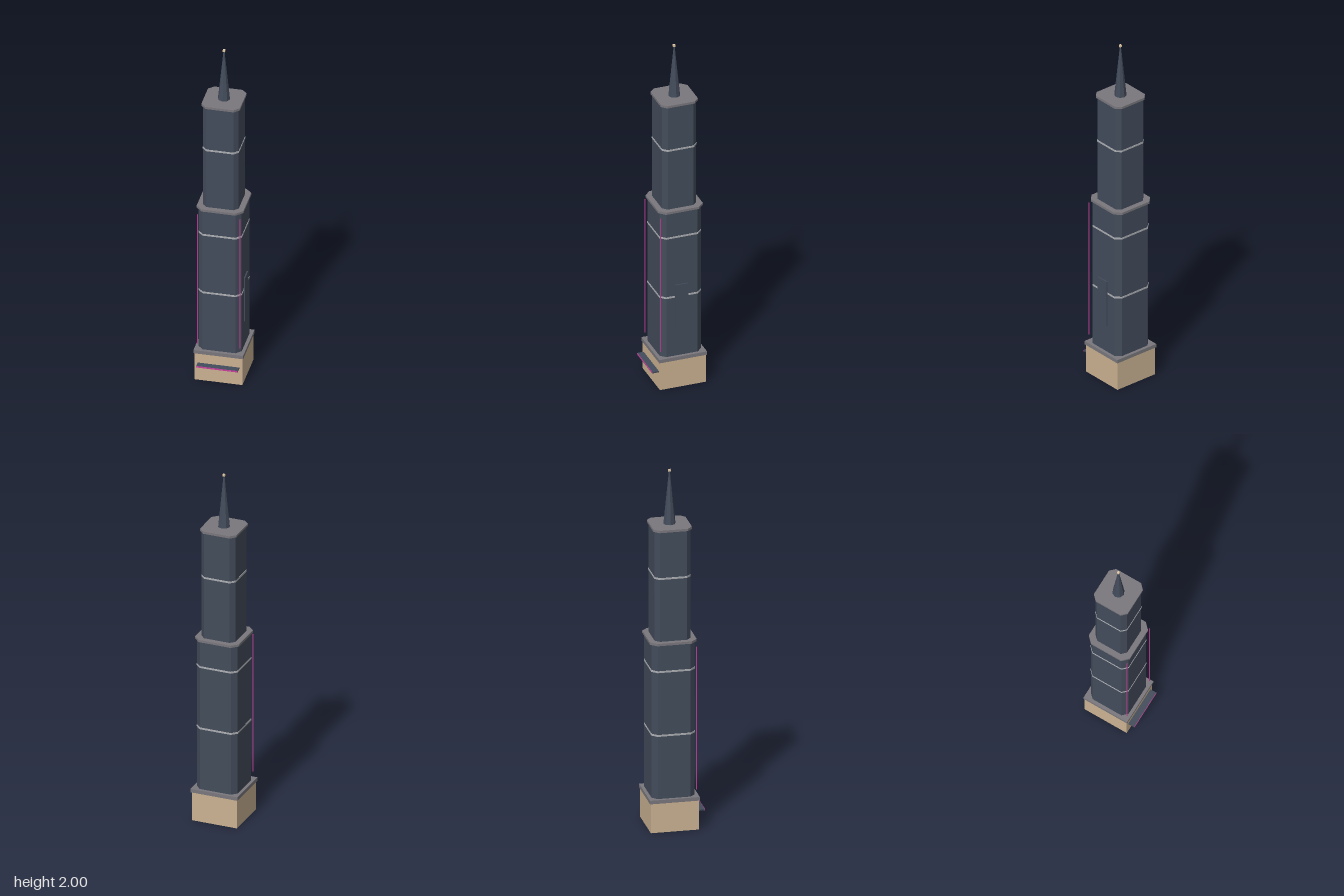
import * as THREE from 'three';

const paint = (name, color, extra = {}) => {
  const m = new THREE.MeshStandardMaterial({ color, ...extra });
  m.name = name;
  return m;
};

export function createModel() {
  const model = new THREE.Group();
  model.name = 'tower';
  const glass = paint('slate glass', 0x434c5b);
  const spireGlass = paint('faceted slate', 0x434c5b, { flatShading: true });
  const stone = paint('sandstone', 0xcbb292, { side: THREE.DoubleSide });
  const roof = paint('roof grey', 0x79777c);
  const silver = paint('silver trim', 0xacaeb2);
  const neon = paint('magenta neon', 0xc8409c);
  const lamp = paint('warm lamp', 0xe2c9a6);
  const CZ = -0.017; // tower axis

  const add = (name, geo, mat, x, y, z) => {
    const mesh = new THREE.Mesh(geo, mat);
    mesh.name = name;
    mesh.position.set(x, y, z);
    model.add(mesh);
    return mesh;
  };
  const box = (name, w, h, d, mat, x, y, z) =>
    add(name, new THREE.BoxGeometry(w, h, d), mat, x, y, z);

  // Square prism with chamfered corners, from y0 to y1
  const prism = (name, half, cut, y0, y1, mat) => {
    const k = half - cut;
    const shape = new THREE.Shape([
      [half, -k], [half, k], [k, half], [-k, half],
      [-half, k], [-half, -k], [-k, -half], [k, -half],
    ].map(([x, y]) => new THREE.Vector2(x, y)));
    const geo = new THREE.ExtrudeGeometry(shape, { depth: y1 - y0, bevelEnabled: false });
    geo.rotateX(-Math.PI / 2);
    return add(name, geo, mat, 0, y0, CZ);
  };

  // Podium: four walls, open underneath, below a flat slab
  const H = 0.165, W = 0.13;
  for (let i = 0; i < 4; i++) {
    const a = i * Math.PI / 2;
    const wall = add('podiumWall', new THREE.PlaneGeometry(W * 2, H), stone,
      Math.sin(a) * W, H / 2, CZ + Math.cos(a) * W);
    wall.rotation.y = a;
  }
  box('podiumSlab', 0.27, 0.02, 0.27, roof, 0, 0.175, CZ);

  // Entrance canopy with a neon front edge
  box('canopy', 0.226, 0.008, 0.036, glass, 0, 0.103, 0.131);
  box('canopyNeon', 0.226, 0.008, 0.002, neon, 0, 0.103, 0.15);

  // Two tower stages with roof caps
  prism('lowerTower', 0.117, 0.028, 0.185, 1.052, glass);
  prism('lowerCap', 0.127, 0.034, 1.052, 1.065, roof);
  prism('upperTower', 0.097, 0.024, 1.065, 1.682, glass);
  prism('upperCap', 0.105, 0.028, 1.682, 1.695, roof);

  // Silver floor bands
  for (const [y, half, cut] of [[0.542, 0.119, 0.029], [0.902, 0.119, 0.029], [1.42, 0.099, 0.025]])
    prism('floorBand', half, cut, y - 0.005, y + 0.005, silver);

  // Tall panel on the left side
  box('sidePanel', 0.008, 0.27, 0.074, glass, 0.12, 0.478, -0.014);

  // Vertical neon tubes at the front corners
  for (const s of [-1, 1])
    add('neonTube', new THREE.CylinderGeometry(0.003, 0.003, 0.805, 6), neon, s * 0.115, 0.625, 0.105);

  // Spire with a small lamp at its tip
  add('spire', new THREE.CylinderGeometry(0.003, 0.033, 0.295, 8), spireGlass, 0, 1.8425, CZ);
  box('spireLamp', 0.012, 0.012, 0.012, lamp, 0, 1.994, CZ);

  return model;
}
